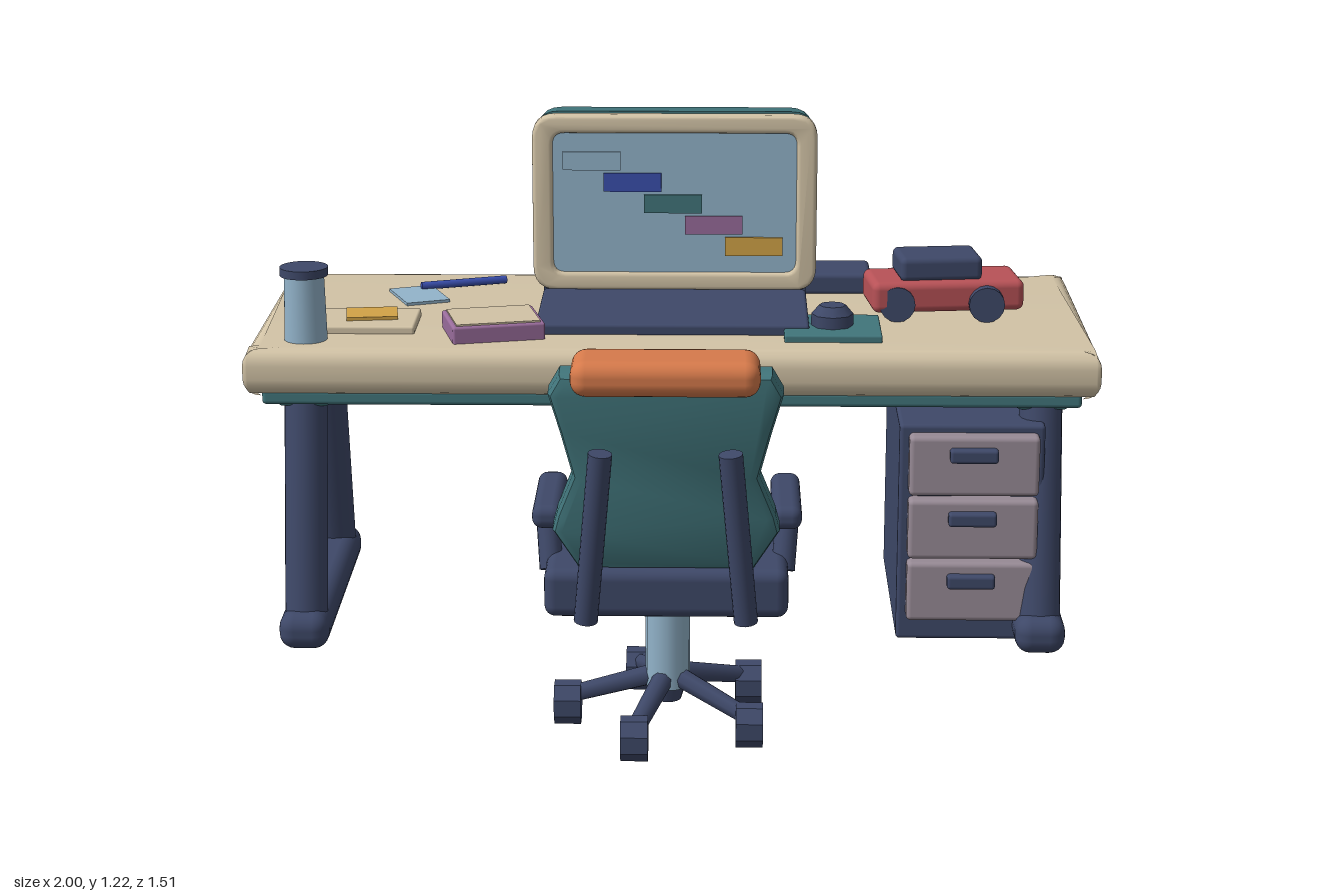
import * as THREE from 'three';
import { toCreasedNormals } from 'three/addons/utils/BufferGeometryUtils.js';
import { RoundedBoxGeometry } from 'three/addons/geometries/RoundedBoxGeometry.js';

const paint = (name, color) => {
  const m = new THREE.MeshStandardMaterial({ color });
  m.name = name;
  return m;
};

// Rounded rectangle outline, counter-clockwise
function roundRect(w, h, r, Type = THREE.Shape) {
  const s = new Type(), x = w / 2, y = h / 2;
  s.moveTo(-x + r, -y).lineTo(x - r, -y).quadraticCurveTo(x, -y, x, -y + r);
  s.lineTo(x, y - r).quadraticCurveTo(x, y, x - r, y);
  s.lineTo(-x + r, y).quadraticCurveTo(-x, y, -x, y - r);
  s.lineTo(-x, -y + r).quadraticCurveTo(-x, -y, -x + r, -y);
  return s;
}

// Extrusion with bevelled edges, centred in depth; total depth is d
function bevelled(shape, d, b, segments = 4) {
  const g = new THREE.ExtrudeGeometry(shape, {
    depth: d - 2 * b, bevelEnabled: true, bevelSize: b, bevelThickness: b,
    bevelOffset: -b, bevelSegments: segments, curveSegments: 6,
  });
  g.translate(0, 0, -(d - 2 * b) / 2);
  return toCreasedNormals(g, 0.6);
}

// Solid through rounded-rectangle sections [z, centreY, width, height, radius], front to back
function loft(sections) {
  const rings = sections.map(([z, cy, w, h, r]) => {
    const pts = roundRect(w, h, r).getPoints(5);
    pts.pop();
    return pts.map(p => [p.x, p.y + cy, z]);
  });
  const n = rings[0].length, pos = [];
  for (let s = 0; s < rings.length - 1; s++)
    for (let i = 0; i < n; i++) {
      const j = (i + 1) % n, A = rings[s], B = rings[s + 1];
      pos.push(...A[i], ...B[i], ...A[j], ...A[j], ...B[i], ...B[j]);
    }
  const F = rings[0], L = rings[rings.length - 1];
  for (let i = 1; i < n - 1; i++) pos.push(...F[0], ...F[i], ...F[i + 1], ...L[0], ...L[i + 1], ...L[i]);
  const g = new THREE.BufferGeometry();
  g.setAttribute('position', new THREE.Float32BufferAttribute(pos, 3));
  return toCreasedNormals(g, 0.6);
}

export function createModel() {
  const cream = paint('cream', 0xd2c3a6), teal = paint('teal', 0x41757b);
  const navy = paint('navy', 0x3e4868), sky = paint('light blue', 0x93b4cb);
  const orange = paint('orange', 0xd67a4b), red = paint('red', 0xb85257);
  const mauve = paint('mauve grey', 0x978a95), purple = paint('purple', 0x996c9b);
  const yellow = paint('yellow', 0xd2a347), blue = paint('blue', 0x3a4fae);

  const model = new THREE.Group();
  model.name = 'deskAndChair';
  const group = name => {
    const g = new THREE.Group();
    g.name = name;
    model.add(g);
    return g;
  };
  const add = (parent, name, geo, mat, x = 0, y = 0, z = 0) => {
    const m = new THREE.Mesh(geo, mat);
    m.name = name;
    m.position.set(x, y, z);
    parent.add(m);
    return m;
  };
  // Box given by its ranges, with rounded edges when r > 0
  const box = (parent, name, mat, [x0, x1], [y0, y1], [z0, z1], r = 0) => {
    const s = [x1 - x0, y1 - y0, z1 - z0];
    const g = r ? new RoundedBoxGeometry(...s, 3, r) : new THREE.BoxGeometry(...s);
    return add(parent, name, g, mat, (x0 + x1) / 2, (y0 + y1) / 2, (z0 + z1) / 2);
  };
  const rod = (parent, name, mat, a, b, r0, r1 = r0, sides = 16) => {
    const A = new THREE.Vector3(...a), B = new THREE.Vector3(...b), d = B.clone().sub(A);
    const m = add(parent, name, new THREE.CylinderGeometry(r1, r0, d.length(), sides), mat);
    m.position.copy(A).add(B).multiplyScalar(0.5);
    m.quaternion.setFromUnitVectors(new THREE.Vector3(0, 1, 0), d.normalize());
    return m;
  };

  // Desk
  const desk = group('desk');
  const top = add(desk, 'deskTop', bevelled(roundRect(2, 0.8, 0.012), 0.112, 0.04, 5), cream, 0, 0.714, -0.355);
  top.rotation.x = -Math.PI / 2;
  box(desk, 'underPanel', teal, [-0.96, 0.96], [0.63, 0.665], [-0.725, 0.015], 0.01);
  box(desk, 'backPanel', teal, [-0.82, 0.82], [0.49, 0.645], [-0.69, -0.635], 0.012);
  for (const s of [-1, 1]) {
    const x = s * 0.885;
    box(desk, 'legBracket', teal, [x - 0.065, x + 0.065], [0.58, 0.635], [-0.57, -0.14], 0.015);
    rod(desk, 'frontLeg', navy, [x, 0.06, -0.07], [x, 0.6, -0.19], 0.052);
    rod(desk, 'rearLeg', navy, [x, 0.06, -0.645], [x, 0.6, -0.52], 0.052);
    box(desk, 'foot', navy, [x - 0.06, x + 0.06], [0.01, 0.1], [-0.72, 0.012], 0.038);
  }

  // Drawer cabinet
  const cabinet = group('drawerCabinet');
  box(cabinet, 'cabinetBody', navy, [0.543, 0.89], [0.015, 0.557], [-0.68, -0.095], 0.01);
  for (const y of [0.075, 0.232, 0.39]) {
    box(cabinet, 'drawerFront', mauve, [0.565, 0.875], [y, y + 0.148], [-0.11, -0.055], 0.012);
    box(cabinet, 'drawerHandle', navy, [0.66, 0.775], [y + 0.088, y + 0.122], [-0.065, -0.032], 0.008);
  }

  // Chair, facing the desk
  const chair = group('chair');
  box(chair, 'seat', navy, [-0.265, 0.265], [0.33, 0.44], [0.165, 0.64], 0.025);
  rod(chair, 'column', sky, [0, 0.1, 0.425], [0, 0.34, 0.425], 0.05);
  rod(chair, 'hub', navy, [0, 0.065, 0.425], [0, 0.125, 0.425], 0.03, 0.048);
  for (let i = 0; i < 5; i++) {
    const a = Math.PI + (i * 2 * Math.PI) / 5;
    const x = 0.226 * Math.cos(a), z = 0.425 + 0.226 * Math.sin(a);
    rod(chair, 'spoke', navy, [x * 0.1, 0.125, 0.425 + (z - 0.425) * 0.1], [x, 0.07, z], 0.024, 0.02, 8);
    const caster = add(chair, 'caster', toCreasedNormals(new THREE.CylinderGeometry(0.05, 0.05, 0.06, 8), 0.5), navy, x, 0.053, z);
    caster.rotation.set(Math.PI / 8, 0, Math.PI / 2);
  }
  const half = [[0.19, -0.22], [0.245, -0.13], [0.235, -0.09], [0.2, 0], [0.225, 0.1], [0.25, 0.19], [0.225, 0.235]];
  const outline = [...half, ...half.slice().reverse().map(([x, y]) => [-x, y])];
  const back = add(chair, 'backrest',
    bevelled(new THREE.Shape(outline.map(p => new THREE.Vector2(...p))), 0.085, 0.02, 2), teal, 0, 0.66, 0.615);
  back.rotation.x = 0.14;
  const lumbar = box(chair, 'lumbarCushion', teal, [-0.2, 0.2], [0.45, 0.64], [0.515, 0.595], 0.035);
  lumbar.rotation.x = 0.1;
  box(chair, 'headrest', orange, [-0.2, 0.2], [0.856, 0.934], [0.6, 0.755], 0.033);
  for (const s of [-1, 1]) {
    rod(chair, 'backBar', navy, [s * 0.173, 0.335, 0.665], [s * 0.138, 0.725, 0.705], 0.026);
    rod(chair, 'armSupport', navy, [s * 0.255, 0.4, 0.51], [s * 0.265, 0.52, 0.46], 0.026);
    box(chair, 'armrest', navy, [s * 0.262 - 0.033, s * 0.262 + 0.033], [0.502, 0.555], [0.27, 0.55], 0.022);
  }

  // Monitor
  const monitor = group('monitor');
  const rimShape = roundRect(0.7, 0.44, 0.06);
  rimShape.holes.push(roundRect(0.6, 0.35, 0.03, THREE.Path));
  add(monitor, 'screenRim', bevelled(rimShape, 0.042, 0.01, 3), cream, 0, 1.01, -0.491);
  box(monitor, 'screenBacking', navy, [-0.325, 0.325], [0.785, 1.2], [-0.54, -0.488]);
  box(monitor, 'screen', sky, [-0.303, 0.303], [0.828, 1.19], [-0.49, -0.484]);
  [sky, blue, teal, purple, yellow].forEach((mat, i) => {
    const x = -0.275 + i * 0.1, y = 1.092 - i * 0.0535;
    box(monitor, 'screenBlock', mat, [x, x + 0.142], [y, y + 0.046], [-0.485, -0.478]);
  });
  add(monitor, 'monitorBody', loft([
    [-0.532, 1.012, 0.69, 0.435, 0.06], [-0.59, 1.012, 0.68, 0.435, 0.06],
    [-0.655, 1.0, 0.56, 0.385, 0.06], [-0.735, 0.985, 0.42, 0.27, 0.05], [-0.745, 0.985, 0.37, 0.23, 0.04],
  ]), teal);
  for (const y of [0.967, 1.022, 1.077]) box(monitor, 'vent', navy, [-0.113, 0.113], [y - 0.009, y + 0.009], [-0.755, -0.72]);

  // Desk equipment
  const items = group('deskItems');
  box(items, 'keyboard', navy, [-0.325, 0.325], [0.765, 0.795], [-0.475, -0.115], 0.008);
  box(items, 'driveBox', navy, [0.285, 0.49], [0.765, 0.82], [-0.69, -0.53], 0.012);
  box(items, 'mousePad', teal, [0.265, 0.495], [0.765, 0.787], [-0.255, -0.05], 0.005);
  rod(items, 'mouse', navy, [0.38, 0.785, -0.153], [0.38, 0.815, -0.153], 0.05, 0.05, 8);
  rod(items, 'mouseTop', navy, [0.38, 0.815, -0.153], [0.38, 0.836, -0.153], 0.05, 0.032, 8);

  // Toy car
  const car = group('toyCar');
  box(car, 'carBody', red, [0.47, 0.84], [0.79, 0.865], [-0.437, -0.263], 0.018).rotation.y = 0.11;
  box(car, 'carCabin', navy, [0.54, 0.74], [0.86, 0.92], [-0.425, -0.285], 0.015).rotation.y = 0.11;
  for (const x of [0.54, 0.755])
    for (const z of [-0.44, -0.265]) rod(car, 'carWheel', navy, [x, 0.812, z - 0.018], [x, 0.812, z + 0.018], 0.043);

  // Cup with lid
  const cup = group('cup');
  rod(cup, 'cupBody', sky, [-0.862, 0.768, -0.065], [-0.862, 0.93, -0.065], 0.051, 0.047, 20);
  rod(cup, 'cupLid', navy, [-0.862, 0.925, -0.065], [-0.862, 0.945, -0.065], 0.057, 0.057, 20);

  // Papers, book and pen
  const papers = group('papers');
  box(papers, 'notepad', cream, [-0.87, -0.612], [0.765, 0.788], [-0.295, -0.113], 0.006);
  box(papers, 'stickyNote', yellow, [-0.785, -0.662], [0.787, 0.796], [-0.27, -0.172]).rotation.y = 0.12;
  box(papers, 'book', purple, [-0.535, -0.315], [0.765, 0.81], [-0.218, -0.042], 0.006).rotation.y = 0.24;
  box(papers, 'bookPage', cream, [-0.525, -0.325], [0.808, 0.814], [-0.208, -0.052]).rotation.y = 0.24;
  box(papers, 'looseNote', sky, [-0.69, -0.58], [0.768, 0.777], [-0.56, -0.4]).rotation.y = 0.38;
  rod(papers, 'pen', blue, [-0.635, 0.784, -0.535], [-0.428, 0.784, -0.61], 0.01, 0.01, 8);

  return model;
}
